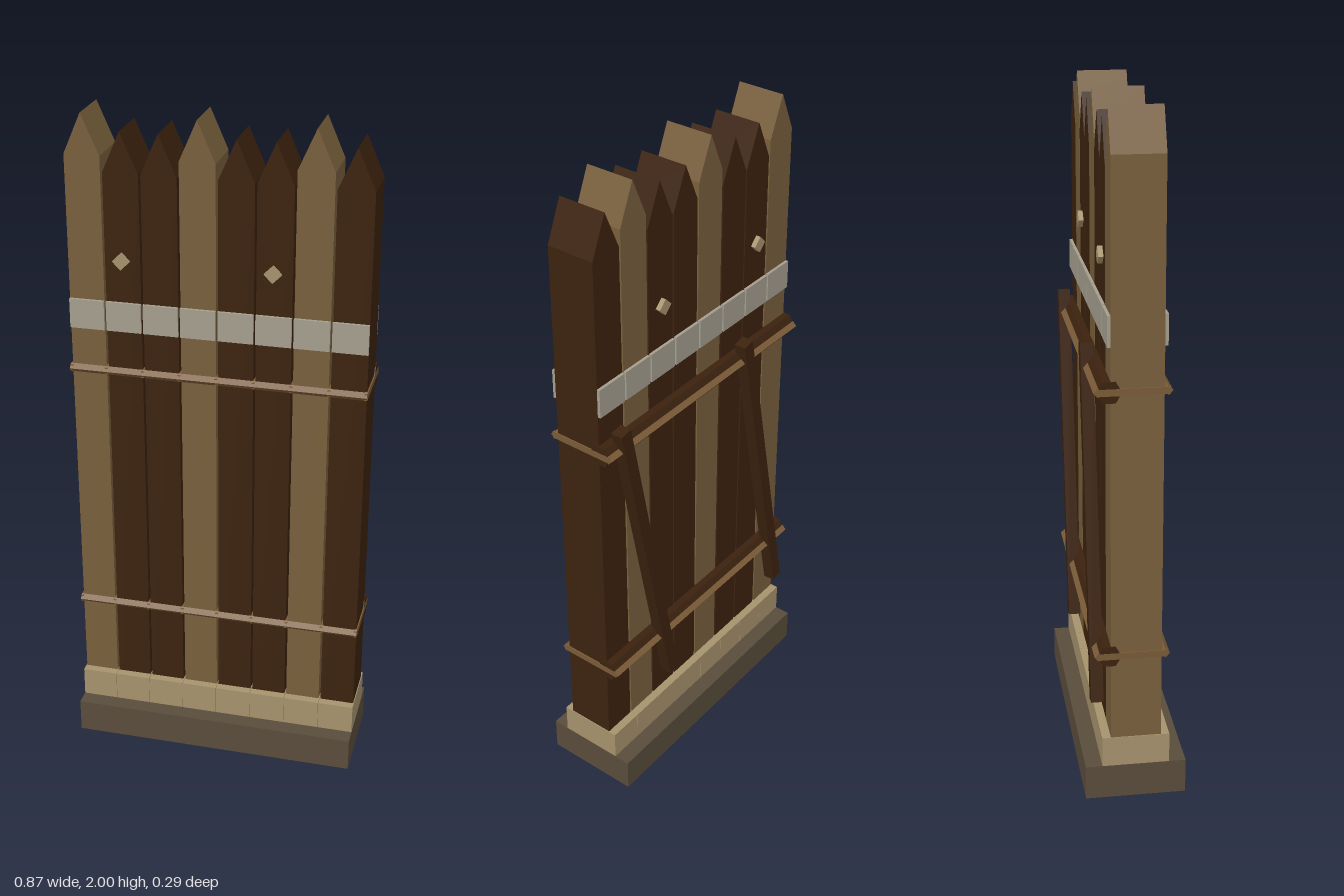
import * as THREE from 'three';

const mat = (name, color) => {
  const m = new THREE.MeshStandardMaterial({ color });
  m.name = name;
  return m;
};

export function createModel() {
  const model = new THREE.Group();
  model.name = 'palisadeWall';

  const lightWood = mat('light wood', 0x785f3c);
  const darkWood = mat('dark wood', 0x3c220e);
  const sand = mat('sandstone', 0xa6926d);
  const earth = mat('earth', 0x594c3b);
  const paint = mat('pale paint', 0xa59e8e);
  const rope = mat('rope', 0x7a5b37);

  const add = (name, geometry, material, x, y, z) => {
    const mesh = new THREE.Mesh(geometry, material);
    mesh.name = name;
    mesh.position.set(x, y, z);
    model.add(mesh);
    return mesh;
  };
  const box = (name, w, h, d, material, x, y, z) =>
    add(name, new THREE.BoxGeometry(w, h, d), material, x, y, z);

  // Faceted rod between two points
  const rod = (name, a, b, radius, sides, material) => {
    const from = new THREE.Vector3(...a), to = new THREE.Vector3(...b);
    const dir = to.clone().sub(from);
    const geometry = new THREE.CylinderGeometry(radius, radius, dir.length(), sides).toNonIndexed();
    geometry.computeVertexNormals();
    const mid = from.add(to).multiplyScalar(0.5);
    const mesh = add(name, geometry, material, mid.x, mid.y, mid.z);
    mesh.quaternion.setFromUnitVectors(new THREE.Vector3(0, 1, 0), dir.normalize());
  };

  const count = 8, pitch = 0.109, width = 0.103, half = 0.073;
  const end = count * pitch / 2;

  // Footing
  box('base', 2 * end, 0.105, 0.294, earth, 0, 0.0525, 0);

  for (let i = 0; i < count; i++) {
    const x = (i - (count - 1) / 2) * pitch;
    const tall = i % 3 === 0;
    const tip = tall ? 2 : 1.955, w = width / 2;

    // Pointed plank
    const outline = new THREE.Shape([
      new THREE.Vector2(-w, 0.1), new THREE.Vector2(w, 0.1),
      new THREE.Vector2(w, tip - 0.117), new THREE.Vector2(0, tip),
      new THREE.Vector2(-w, tip - 0.117),
    ]);
    const plank = new THREE.ExtrudeGeometry(outline, { depth: 2 * half, bevelEnabled: false });
    add('plank', plank, tall ? lightWood : darkWood, x, 0, -half);

    // Stone collar at the foot
    box('collar', pitch - 0.001, 0.092, 0.196, sand, x, 0.151, 0);

    // Painted band on both faces
    for (const s of [1, -1]) {
      box('paintedBand', width, 0.088, 0.009, paint, x, 1.418, s * (half + 0.0045));
    }
  }

  // Diamond studs on both faces
  for (const x of [-0.275, 0.16]) {
    for (const s of [1, -1]) {
      box('stud', 0.035, 0.035, 0.015, sand, x, 1.587, s * 0.08).rotation.z = Math.PI / 4;
    }
  }

  // Back rails with rope lashings around every plank
  for (const y of [0.461, 1.25]) {
    rod('backRail', [-end, y, -0.077], [end, y, -0.077], 0.035, 6, darkWood);
    rod('frontRope', [-end, y, 0.083], [end, y, 0.083], 0.013, 4, rope);
    rod('backRope', [-end, y, -0.107], [end, y, -0.107], 0.013, 4, rope);
    for (let i = 0; i <= count; i++) {
      const x = THREE.MathUtils.clamp(i * pitch - end, -end + 0.004, end - 0.004);
      box('ropeTie', 0.009, 0.02, 0.2, rope, x, y, -0.011);
    }
  }

  // Slanted braces on the back
  for (const x of [-0.282, 0.278]) {
    box('brace', 0.04, 1.04, 0.036, darkWood, x, 0.805, -0.108).rotation.z = -0.2;
  }

  return model;
}
